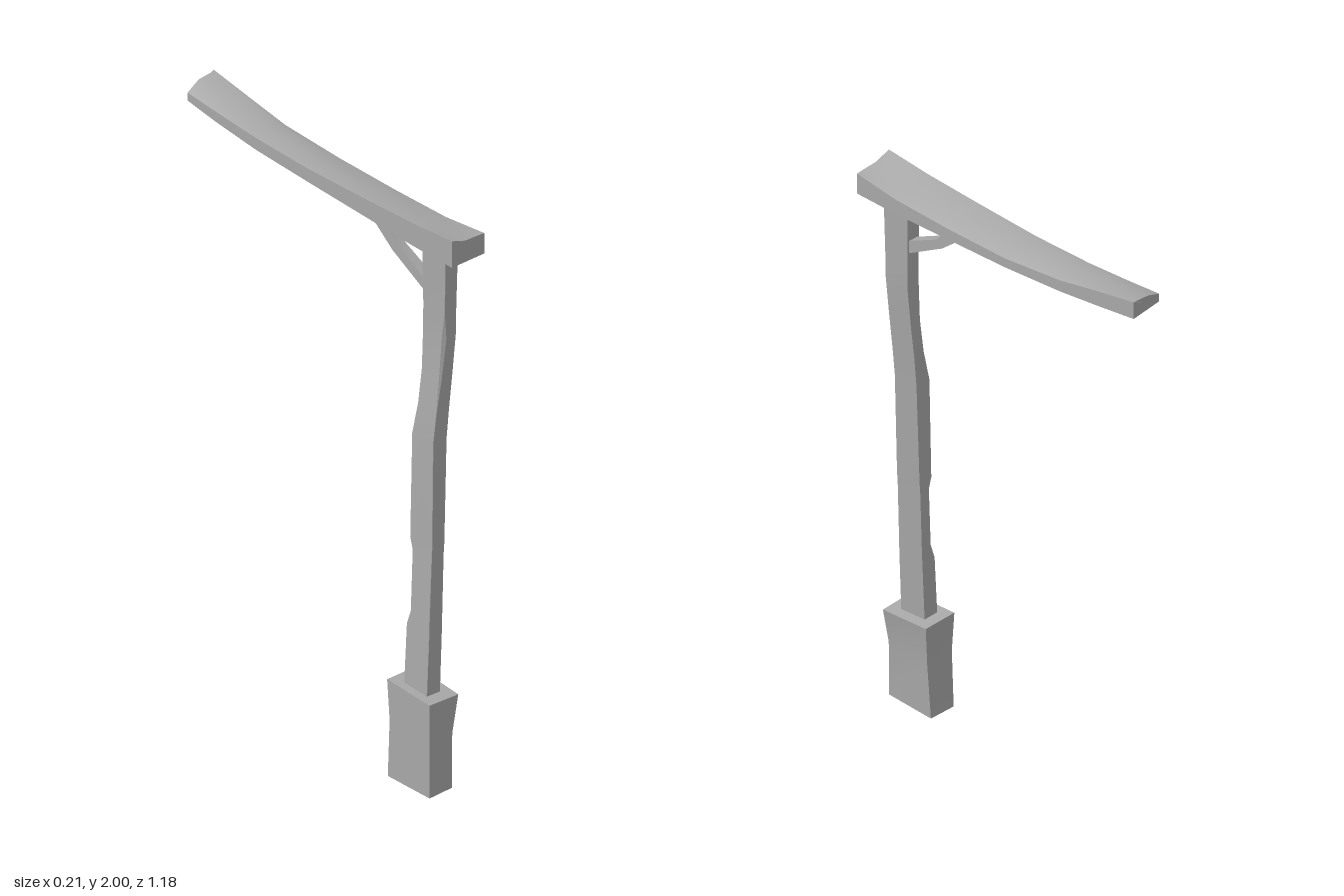
import * as THREE from 'three';
import { toCreasedNormals } from 'three/addons/utils/BufferGeometryUtils.js';

const stone = new THREE.MeshStandardMaterial({ color: 0xa9a9a9 });
stone.name = 'plain grey';

// Skin a list of rings (each counter-clockwise seen from the last ring's end) and cap both ends.
function loft(name, rings, crease = 0.5) {
  const pos = [];
  const tri = (...pts) => pts.forEach((p) => pos.push(...p));
  const n = rings[0].length;
  for (let i = 0; i < rings.length - 1; i++) {
    for (let j = 0; j < n; j++) {
      const k = (j + 1) % n;
      const [a, b, c, d] = [rings[i][j], rings[i][k], rings[i + 1][k], rings[i + 1][j]];
      tri(a, b, c);
      tri(a, c, d);
    }
  }
  const cap = (ring, flip) => {
    const mid = [0, 1, 2].map((q) => ring.reduce((s, p) => s + p[q], 0) / n);
    ring.forEach((p, j) => {
      const next = ring[(j + 1) % n];
      flip ? tri(mid, next, p) : tri(mid, p, next);
    });
  };
  cap(rings[0], true);
  cap(rings[rings.length - 1], false);
  const geo = new THREE.BufferGeometry();
  geo.setAttribute('position', new THREE.Float32BufferAttribute(pos, 3));
  const mesh = new THREE.Mesh(toCreasedNormals(geo, crease), stone);
  mesh.name = name;
  return mesh;
}

// Footing block, pinched at mid height with a tilted top
function makeFooting() {
  // [front y, back y, left x, front right x, back right x, front z, back z]
  const levels = [
    [0, 0, -0.105, -0.012, -0.008, 0.565, 0.38],
    [0.2, 0.2, -0.105, -0.01, 0.0, 0.565, 0.388],
    [0.328, 0.341, -0.105, 0.015, 0.017, 0.565, 0.377],
  ];
  return loft('footing', levels.map(([yf, yb, x0, xf, xb, zf, zb]) => [
    [x0, yf, zf], [xf, yf - (yf ? 0.008 : 0), zf], [xb, yb - (yb ? 0.004 : 0), zb], [x0, yb, zb],
  ]));
}

// Crooked post with chipped edges on its -x side
function makePost() {
  // [y, x0, x1, back z, front z, back chip, front chip]
  const levels = [
    [0.3, -0.077, -0.022, 0.42, 0.522, 0.001, 0.001],
    [0.54, -0.064, -0.011, 0.42, 0.52, 0.001, 0.001],
    [0.58, -0.062, -0.009, 0.42, 0.519, 0.016, 0.001],
    [0.8, -0.05, 0.0, 0.418, 0.516, 0.014, 0.001],
    [0.84, -0.048, 0.003, 0.418, 0.516, 0.001, 0.001],
    [1.2, -0.036, 0.02, 0.414, 0.508, 0.001, 0.001],
    [1.3, -0.026, 0.027, 0.416, 0.511, 0.014, 0.001],
    [1.42, -0.013, 0.037, 0.421, 0.515, 0.012, 0.006],
    [1.56, -0.002, 0.047, 0.426, 0.52, 0.001, 0.01],
    [1.65, 0.0, 0.048, 0.425, 0.521, 0.001, 0.001],
    [1.88, 0.0, 0.052, 0.42, 0.525, 0.001, 0.001],
  ];
  return loft('post', levels.map(([y, x0, x1, zb, zf, cb, cf]) => [
    [x0 + cf, y, zf], [x1, y, zf], [x1, y, zb],
    [x0 + cb, y, zb], [x0, y, zb + cb], [x0, y, zf - cf],
  ]), 0.3);
}

// Long sagging beam, rising toward the back
function makeBeam() {
  // [z, right x, bottom y, top y at left, middle and right]
  const stations = [
    [-0.59, 0.085, 1.94, 1.972, 1.994, 2.0],
    [-0.45, 0.086, 1.918, 1.958, 1.972, 1.972],
    [-0.28, 0.09, 1.897, 1.943, 1.95, 1.937],
    [-0.05, 0.1, 1.883, 1.934, 1.934, 1.915],
    [0.2, 0.101, 1.87, 1.937, 1.93, 1.909],
    [0.42, 0.101, 1.858, 1.942, 1.932, 1.91],
    [0.59, 0.101, 1.855, 1.953, 1.933, 1.927],
  ];
  return loft('beam', stations.map(([z, x1, yb, l, m, r], i) => {
    const skew = i === 0 ? 0.008 : 0;
    return [
      [-0.035, yb + 0.004, z + skew], [x1, yb, z - skew / 2],
      [x1, r, z - skew / 2], [0.07, (m + r) / 2, z],
      [0.02, m, z], [-0.035, l, z + skew],
    ];
  }));
}

// Curved brace from the back of the post to the underside of the beam
function makeBrace() {
  // [lower z, lower y, upper z, upper y]
  const steps = [
    [0.43, 1.685, 0.43, 1.73],
    [0.28, 1.772, 0.305, 1.793],
    [0.175, 1.86, 0.235, 1.868],
  ];
  return loft('brace', steps.map(([zl, yl, zu, yu]) => [
    [0.042, yl, zl], [0.008, yl, zl], [0.008, yu, zu], [0.042, yu, zu],
  ]));
}

export function createModel() {
  const model = new THREE.Group();
  model.name = 'crookedPostWithBeam';
  model.add(makeFooting(), makePost(), makeBeam(), makeBrace());
  return model;
}
